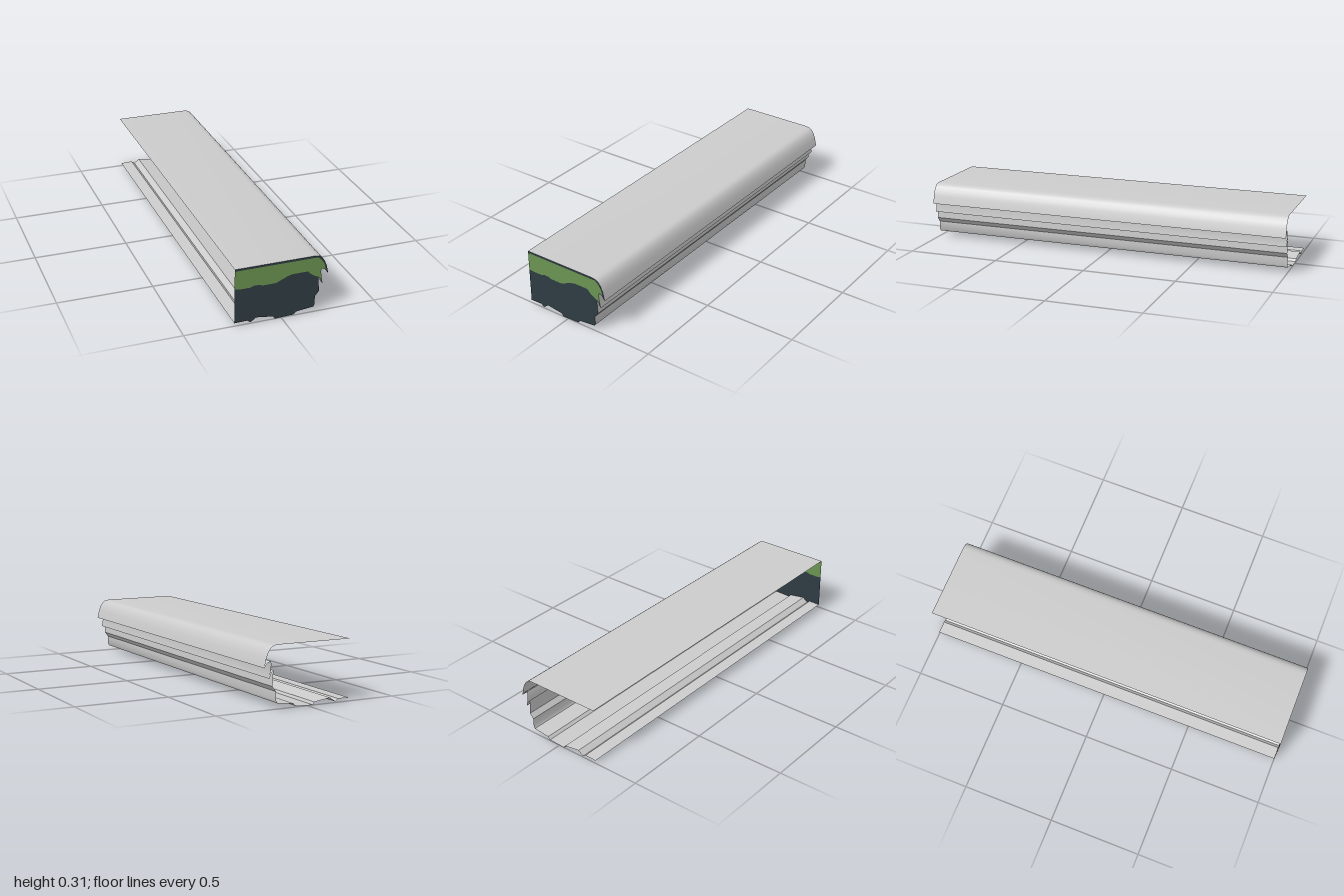
import * as THREE from 'three';
import { toCreasedNormals } from 'three/addons/utils/BufferGeometryUtils.js';

const HALF = 1; // half the length along z

// Cross-section outline in (x, y), split where the surface colour bands meet
const top = [[-0.243, 0.312], [0.165, 0.312], [0.182, 0.31], [0.195, 0.306], [0.208, 0.296],
  [0.221, 0.277], [0.232, 0.249], [0.242, 0.205]];
const overhang = [[0.225, 0.228], [0.208, 0.237], [0.203, 0.222], [0.214, 0.152], [0.203, 0.178],
  [0.192, 0.192]];
const rock = [[0.196, 0.113], [0.176, 0.087], [0.176, 0.043], [0.169, 0.03], [0.078, 0.02],
  [0.065, 0.006], [-0.033, 0.002], [-0.04, 0.016], [-0.131, 0.029], [-0.16, 0.007],
  [-0.177, 0.02], [-0.243, 0.018]];

// Inner edge of the dark rim, from the lip back to the left
const rimInner = [[0.226, 0.24], [0.22, 0.261], [0.206, 0.283], [0.195, 0.294], [0.184, 0.301],
  [-0.243, 0.301]];
// Lower edge of the grass, from left to right
const grassLower = [[-0.243, 0.204], [-0.215, 0.2], [-0.165, 0.2], [-0.145, 0.207], [-0.118, 0.207],
  [-0.1, 0.2], [-0.03, 0.2], [0, 0.214], [0.03, 0.227], [0.055, 0.233], [0.135, 0.233],
  [0.152, 0.215], [0.17, 0.203]];

// Sweeps the outline along z as an open sheet
function sheet(points) {
  const pos = [];
  for (let i = 0; i < points.length - 1; i++) {
    const [ax, ay] = points[i], [bx, by] = points[i + 1];
    pos.push(ax, ay, HALF, bx, by, HALF, bx, by, -HALF);
    pos.push(ax, ay, HALF, bx, by, -HALF, ax, ay, -HALF);
  }
  const g = new THREE.BufferGeometry();
  g.setAttribute('position', new THREE.Float32BufferAttribute(pos, 3));
  return toCreasedNormals(g, 0.5);
}

// Flat piece of the front end
function face(points) {
  const g = new THREE.ShapeGeometry(new THREE.Shape(points.map(([x, y]) => new THREE.Vector2(x, y))));
  return g.translate(0, 0, HALF);
}

function material(name, color) {
  const m = new THREE.MeshStandardMaterial({ color, side: THREE.DoubleSide });
  m.name = name;
  return m;
}

export function createModel() {
  const group = new THREE.Group();
  group.name = 'grassLedge';
  const grey = material('pale grey', 0xcccccc);
  const green = material('grass green', 0x6a9451);
  const dark = material('dark slate', 0x2f3c43);

  const add = (name, geometry, mat) => {
    const mesh = new THREE.Mesh(geometry, mat);
    mesh.name = name;
    group.add(mesh);
  };

  // Long shell, open at the left and the back
  add('shell', sheet([...top, ...overhang, ...rock]), grey);

  // Front end in three bands
  add('frontRim', face([...top, overhang[0], ...rimInner]), dark);
  add('frontGrass', face([...[...rimInner].reverse(), ...overhang, ...[...grassLower].reverse()]), green);
  add('frontRock', face([...grassLower, overhang[overhang.length - 1], ...rock]), dark);

  return group;
}
